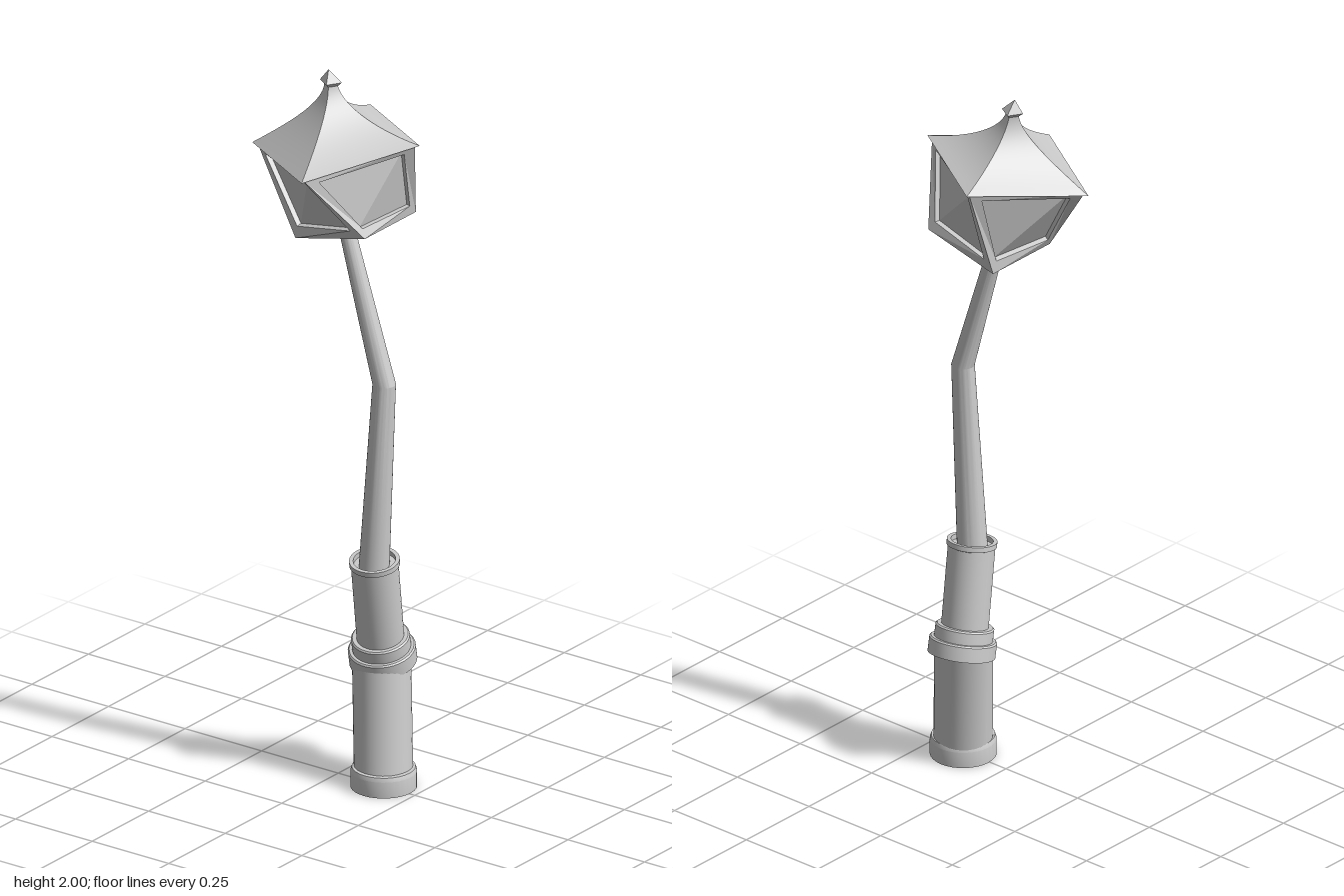
import * as THREE from 'three';
import { toCreasedNormals } from 'three/addons/utils/BufferGeometryUtils.js';

const V = (x, y, z) => new THREE.Vector3(x, y, z);
const material = new THREE.MeshStandardMaterial({ color: 0xcccccc, side: THREE.DoubleSide });

function addMesh(group, name, geometry) {
  const mesh = new THREE.Mesh(toCreasedNormals(geometry, 0.35), material);
  mesh.name = name;
  group.add(mesh);
  return mesh;
}

// Regular ring of n points round c, sheared by the slopes gx and gz
function ring(c, r, n, yaw = 0, gx = 0, gz = 0) {
  return Array.from({ length: n }, (_, i) => {
    const a = yaw + (i / n) * Math.PI * 2;
    const dx = r * Math.cos(a), dz = -r * Math.sin(a);
    return V(c.x + dx, c.y + gx * dx + gz * dz, c.z + dz);
  });
}

// Skin through a list of rings, with an optional cap on the last
function loft(rings, cap = true) {
  const pos = [], n = rings[0].length;
  const tri = (...pts) => pts.forEach((p) => pos.push(p.x, p.y, p.z));
  for (let k = 0; k < rings.length - 1; k++) {
    for (let i = 0; i < n; i++) {
      const j = (i + 1) % n, a = rings[k], b = rings[k + 1];
      tri(a[i], a[j], b[j]);
      tri(a[i], b[j], b[i]);
    }
  }
  const last = rings[rings.length - 1];
  if (cap) for (let i = 1; i < n - 1; i++) tri(last[0], last[i], last[i + 1]);
  const g = new THREE.BufferGeometry();
  g.setAttribute('position', new THREE.Float32BufferAttribute(pos, 3));
  return g;
}

// Turned part: profile of [radius, distance along axis] placed at a point
function turned(group, name, at, axis, profile) {
  const pts = profile.map(([r, h]) => new THREE.Vector2(r, h));
  const mesh = addMesh(group, name, new THREE.LatheGeometry(pts, 32));
  mesh.position.copy(at);
  mesh.quaternion.setFromUnitVectors(V(0, 1, 0), axis.clone().normalize());
}

// Framed panel: flat border, then a sunken field
function framedPanel(c, insetU, low, high, depth) {
  const at = (u, v) => c[0].clone().lerp(c[1], u).lerp(c[3].clone().lerp(c[2], u), v);
  const inner = [at(insetU, low), at(1 - insetU, low), at(1 - insetU, 1 - high), at(insetU, 1 - high)];
  const normal = c[2].clone().sub(c[0]).cross(c[3].clone().sub(c[1])).normalize();
  const sunk = inner.map((p) => p.clone().addScaledVector(normal, -depth));
  return loft([c, inner, sunk]);
}

export function createModel() {
  const model = new THREE.Group();
  model.name = 'crookedStreetLamp';

  // Crooked pipe sections of the pedestal
  const foot = V(0.145, 0, -0.005), elbow = V(0.106, 0.36, -0.048), mouth = V(0.118, 0.64, 0);
  turned(model, 'baseRing', foot, V(0, 1, 0),
    [[0.075, 0.03], [0.075, 0], [0.088, 0], [0.088, 0.045], [0.084, 0.056], [0.07, 0.056]]);
  addMesh(model, 'lowerPipe', loft([
    ring(V(0.144, 0.01, -0.006), 0.078, 32), ring(elbow, 0.078, 32, 0, -0.05, -0.25)]));

  const collarAxis = V(0.06, 1, 0.26);
  turned(model, 'elbowCollar', V(0.105, 0.37, -0.05), collarAxis,
    [[0.07, -0.042], [0.09, -0.042], [0.09, -0.002], [0.086, 0.002], [0.078, 0.002],
      [0.078, 0.034], [0.074, 0.038], [0.06, 0.038]]);

  const upperAxis = mouth.clone().sub(elbow);
  const len = upperAxis.length();
  turned(model, 'upperPipe', elbow, upperAxis,
    [[0.063, 0], [0.063, len - 0.016], [0.067, len - 0.014], [0.067, len],
      [0.056, len], [0.056, len - 0.014], [0, len - 0.014]]);

  // Bent, tapering pole
  addMesh(model, 'pole', loft([
    ring(V(0.116, 0.6, 0), 0.041, 28), ring(V(0.15, 1.15, 0), 0.031, 28),
    ring(V(0.01, 1.6, -0.008), 0.021, 28)]));

  // Twisted lantern: square floor, turned eaves
  const lantern = new THREE.Group();
  lantern.name = 'lantern';
  model.add(lantern);
  const quarter = Math.PI / 4, twist = quarter - 0.54;
  const eave = V(-0.008, 1.795, -0.001);
  const floor = ring(V(0.045, 1.572, -0.016), 0.16, 4, quarter, 0.24, 0);
  const top = ring(eave, 0.224, 4, twist, 0.116, -0.112);
  for (let i = 0; i < 4; i++) {
    const j = (i + 1) % 4;
    addMesh(lantern, 'sidePanel', framedPanel([floor[i], floor[j], top[j], top[i]], 0.1, 0.13, 0.08, 0.014));
  }
  addMesh(lantern, 'floorPanel', framedPanel([...floor].reverse(), 0.06, 0.06, 0.06, 0.02));

  // Flared roof, sweeping up to the neck of the finial
  const neck = V(-0.03, 1.965, -0.008);
  const roof = [ring(eave, 0.2, 4, twist, 0.116, -0.112)];
  for (let k = 0; k <= 12; k++) {
    const t = k / 12, s = 1 - t;
    roof.push(ring(eave.clone().lerp(neck, t), 0.018 + 0.22 * Math.pow(s, 1.8), 4, twist, 0.116 * s, -0.112 * s));
  }
  addMesh(lantern, 'roof', loft(roof));

  // Small pointed finial
  addMesh(lantern, 'finial', loft([
    ring(V(-0.029, 1.955, -0.008), 0.018, 4, twist), ring(V(-0.03, 1.967, -0.008), 0.031, 4, twist),
    ring(V(-0.034, 2, -0.004), 0.001, 4, twist)]));

  return model;
}
